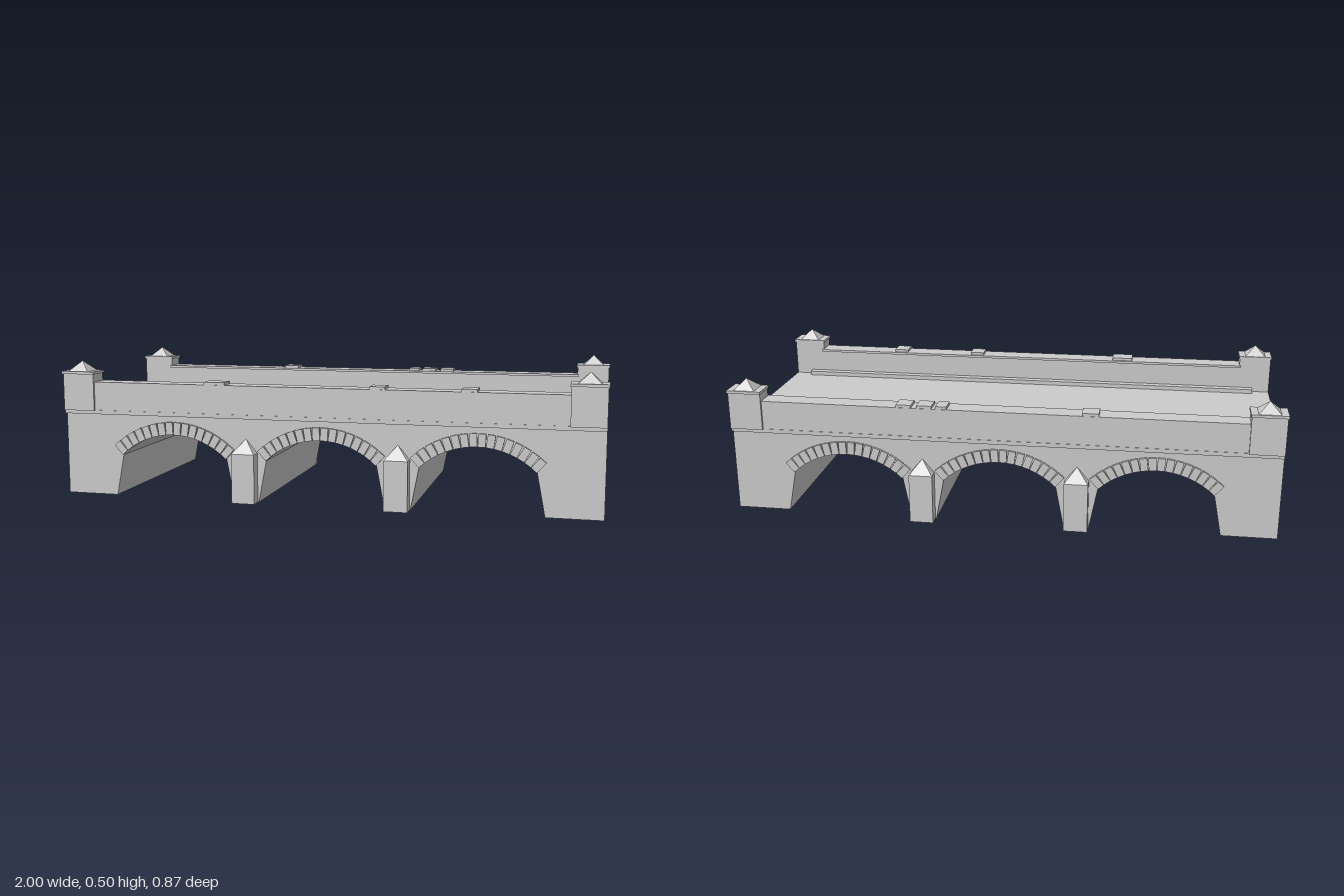
import * as THREE from 'three';

const material = new THREE.MeshStandardMaterial({ color: 0xcccccc, flatShading: true });
const thin = new THREE.MeshStandardMaterial({ color: 0xcccccc, flatShading: true, side: THREE.DoubleSide });

const END = 0.997, WALL_Z = 0.39, DECK_TOP = 0.32;
const ARCH_X = [-0.563, 0, 0.563];
const PIER_X = [-0.282, 0.282];

// Arch opening: leaning legs up to a segmental arc
const FOOT = 0.235, SPRING_X = 0.205, SPRING_Y = 0.155, CROWN_Y = 0.238;
const RISE = CROWN_Y - SPRING_Y;
const RADIUS = (SPRING_X ** 2 + RISE ** 2) / (2 * RISE);
const CENTRE_Y = CROWN_Y - RADIUS;
const SWEEP = Math.asin(SPRING_X / RADIUS);

function archProfile(steps = 14) {
  const pts = [new THREE.Vector2(-FOOT, 0)];
  for (let i = 0; i <= steps; i++) {
    const a = -SWEEP + (2 * SWEEP * i) / steps;
    pts.push(new THREE.Vector2(RADIUS * Math.sin(a), CENTRE_Y + RADIUS * Math.cos(a)));
  }
  pts.push(new THREE.Vector2(FOOT, 0));
  return pts;
}

function add(parent, name, geometry, x = 0, y = 0, z = 0, mat = material) {
  const mesh = new THREE.Mesh(geometry, mat);
  mesh.name = name;
  mesh.position.set(x, y, z);
  parent.add(mesh);
  return mesh;
}

// Box given by its limits on each axis
function block(parent, name, [x0, x1], [y0, y1], [z0, z1]) {
  return add(parent, name, new THREE.BoxGeometry(x1 - x0, y1 - y0, z1 - z0),
    (x0 + x1) / 2, (y0 + y1) / 2, (z0 + z1) / 2);
}

// Side wall outline with the three openings cut from its foot
function wallGeometry() {
  const shape = new THREE.Shape();
  shape.moveTo(-END, 0);
  for (const x of ARCH_X) for (const p of archProfile()) shape.lineTo(x + p.x, p.y);
  shape.lineTo(END, 0);
  shape.lineTo(END, DECK_TOP);
  shape.lineTo(-END, DECK_TOP);
  shape.closePath();
  return new THREE.ShapeGeometry(shape);
}

// Vault sheet bent over the arch profile
function vaultGeometry() {
  const pts = archProfile();
  const n = pts.length;
  const geo = new THREE.PlaneGeometry(1, 1, n - 1, 1);
  const pos = geo.attributes.position;
  for (let i = 0; i < pos.count; i++) {
    const p = pts[i % n];
    pos.setXYZ(i, p.x, p.y, i < n ? -WALL_Z : WALL_Z);
  }
  geo.computeVertexNormals();
  return geo;
}

// Pier buttress: upright box whose top leans back to a point on the wall
function cutwaterGeometry() {
  const w = 0.086, depth = 0.043;
  const geo = new THREE.BoxGeometry(w, 2, depth, 1, 2, 1).toNonIndexed();
  const pos = geo.attributes.position;
  for (let i = 0; i < pos.count; i++) {
    const y = pos.getY(i);
    if (y > 0.5) pos.setXYZ(i, 0, 0.233, -depth / 2);
    else pos.setY(i, y < -0.5 ? 0 : 0.182);
  }
  geo.computeVertexNormals();
  return geo;
}

// Corner post with cap slab and pyramid finial
function cornerPost(parent, side) {
  const post = new THREE.Group();
  post.name = 'cornerPost';
  post.position.set(side * 0.936, 0, 0.37);
  block(post, 'postShaft', [-0.061, 0.061], [DECK_TOP, 0.457], [-0.039, 0.039]);
  block(post, 'postCap', [-0.064, 0.064], [0.457, 0.467], [-0.045, 0.045]);
  const cone = new THREE.ConeGeometry(0.039 * Math.SQRT2, 0.038, 4);
  cone.rotateY(Math.PI / 4);
  add(post, 'postFinial', cone, 0, 0.486, 0);
  parent.add(post);
}

// One long side, built facing +z; copings lists raised stones as [x, width]
function bridgeSide(name, copings) {
  const side = new THREE.Group();
  side.name = name;
  add(side, 'sideWall', wallGeometry(), 0, 0, WALL_Z, thin);
  block(side, 'stringCourse', [-END, END], [0.307, 0.322], [0.385, 0.402]);
  block(side, 'parapet', [-0.88, 0.88], [DECK_TOP - 0.005, 0.428], [0.331, 0.4]);
  block(side, 'parapetLip', [-0.88, 0.88], [0.419, 0.428], [0.324, 0.335]);
  block(side, 'kerb', [-0.93, 0.93], [DECK_TOP - 0.005, 0.336], [0.301, 0.333]);
  for (const [x, w] of copings) {
    block(side, 'raisedCoping', [x - w / 2, x + w / 2], [0.42, 0.438], [0.335, 0.398]);
  }

  // Arch ring stones
  const count = 16;
  for (const x of ARCH_X) {
    for (let i = 0; i < count; i++) {
      const a = -SWEEP + (2 * SWEEP * (i + 0.5)) / count;
      const r = RADIUS + 0.0235;
      const stone = add(side, 'archStone', new THREE.BoxGeometry(0.027, 0.047, 0.013),
        x + r * Math.sin(a), CENTRE_Y + r * Math.cos(a), 0.3935);
      stone.rotation.z = -a;
    }
  }
  for (const x of PIER_X) add(side, 'cutwater', cutwaterGeometry(), x, 0, 0.4115);
  for (const s of [-1, 1]) cornerPost(side, s);
  return side;
}

export function createModel() {
  const model = new THREE.Group();
  model.name = 'archBridge';

  block(model, 'deck', [-END, END], [0.265, DECK_TOP], [-WALL_Z + 0.001, WALL_Z - 0.001]);
  for (const x of ARCH_X) add(model, 'vault', vaultGeometry(), x, 0, 0, thin);

  model.add(bridgeSide('frontSide', [[-0.4, 0.08], [0.208, 0.055], [0.533, 0.055]]));
  // The back is turned half round, so its x runs the other way
  const back = bridgeSide('backSide', [[0.325, 0.06], [-0.208, 0.04], [-0.27, 0.055], [-0.345, 0.055]]);
  back.rotation.y = Math.PI;
  model.add(back);
  return model;
}
